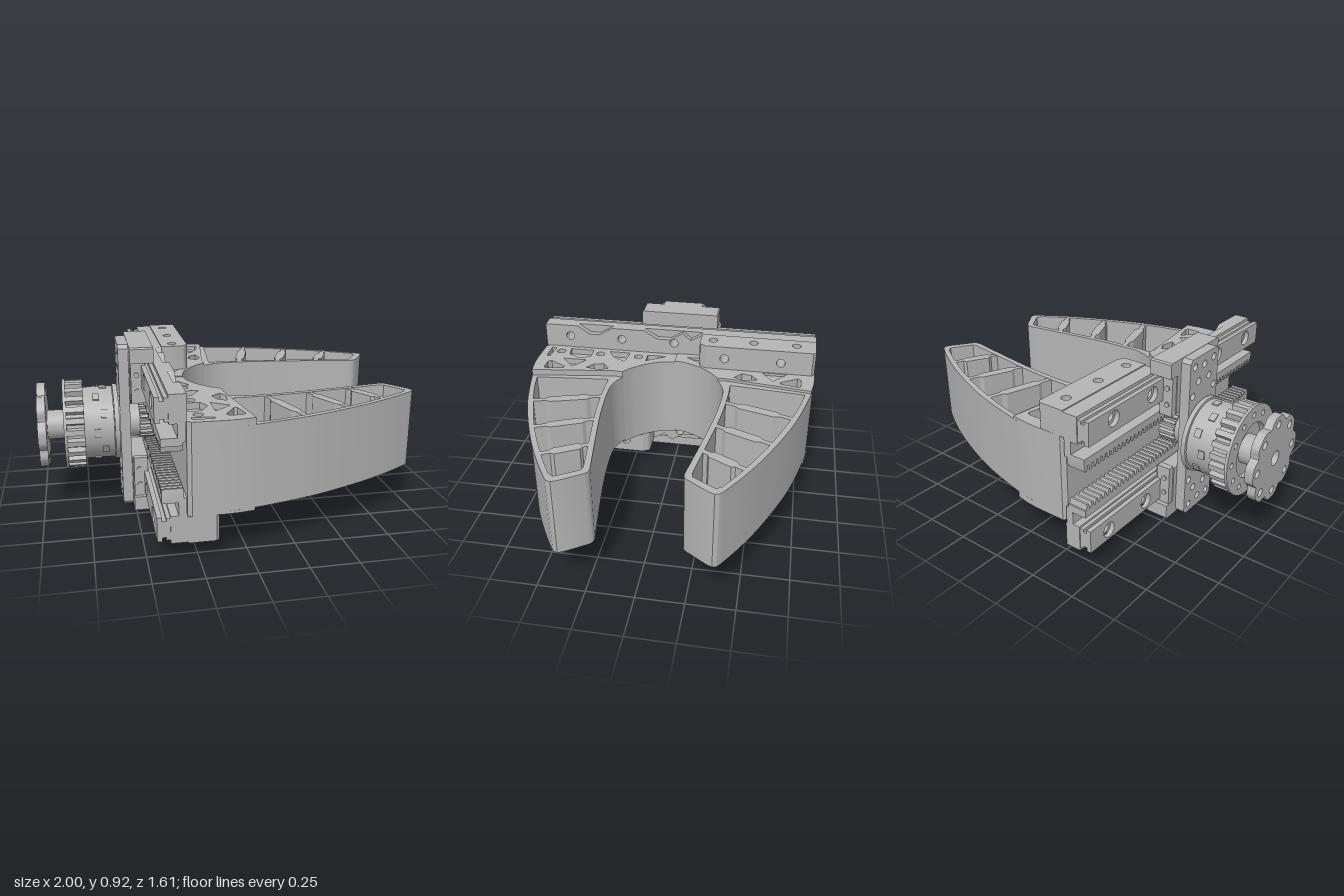
import * as THREE from 'three';
import { toCreasedNormals } from 'three/addons/utils/BufferGeometryUtils.js';

const CY = 0.46; // height of the main axis
const steel = new THREE.MeshStandardMaterial({ color: 0xb4b4b4 });
steel.name = 'grey';

const V = (p) => new THREE.Vector2(p[0], p[1]);
const circle = (x, y, r, n = 20) => Array.from({ length: n }, (_, i) => {
  const a = (i / n) * Math.PI * 2;
  return [x + r * Math.cos(a), y + r * Math.sin(a)];
});
const rect = (x0, x1, y0, y1) => [[x0, y0], [x1, y0], [x1, y1], [x0, y1]];
const curve = (pts, n = 40) =>
  new THREE.SplineCurve(pts.map(V)).getPoints(n).map((p) => [p.x, p.y]);

// Outlines run anticlockwise and holes clockwise, so every wall faces outwards
function wound(points, clockwise) {
  const pts = points.map(V);
  return THREE.ShapeUtils.isClockWise(pts) === clockwise ? pts : pts.reverse();
}
function extrude(outline, holes, depth) {
  const s = new THREE.Shape(wound(outline, false));
  s.holes = holes.map((h) => new THREE.Path(wound(h, true)));
  return new THREE.ExtrudeGeometry(s, { depth, bevelEnabled: false });
}
function add(group, name, geo) {
  const m = new THREE.Mesh(toCreasedNormals(geo, 0.5), steel);
  m.name = name;
  group.add(m);
}
// Plan outline (x, -z) raised from y0 to y1
const plan = (g, name, outline, holes, y0, y1) =>
  add(g, name, extrude(outline, holes, y1 - y0).rotateX(-Math.PI / 2).translate(0, y0, 0));
// Outline (-z, y) extruded from x0 to x1
const across = (g, name, outline, holes, x0, x1) =>
  add(g, name, extrude(outline, holes, x1 - x0).rotateY(Math.PI / 2).translate(x0, 0, 0));
const box = (g, name, x0, x1, y0, y1, z0, z1) =>
  add(g, name, new THREE.BoxGeometry(x1 - x0, y1 - y0, z1 - z0)
    .translate((x0 + x1) / 2, (y0 + y1) / 2, (z0 + z1) / 2));
const disc = (g, name, r, x0, x1) =>
  add(g, name, new THREE.CylinderGeometry(r, r, x1 - x0, 64)
    .rotateZ(Math.PI / 2).translate((x0 + x1) / 2, CY, 0));

// Toothed outline around the main axis
function gear(n, rIn, rOut) {
  const out = [];
  for (let i = 0; i < n; i++) {
    [[0, rIn], [0.3, rIn], [0.42, rOut], [0.88, rOut]].forEach(([f, r]) => {
      const a = ((i + f) / n) * Math.PI * 2;
      out.push([r * Math.cos(a), CY + r * Math.sin(a)]);
    });
  }
  return out;
}
const ringOfHoles = (n, R, r) => Array.from({ length: n }, (_, i) => {
  const a = (i / n) * Math.PI * 2;
  return circle(R * Math.cos(a), CY + R * Math.sin(a), r, 14);
});

// One finger with its base, guide bar, rail and rack
function makeJaw() {
  const g = new THREE.Group();
  const outer = [[-0.28, 0.8], ...curve([[-0.12, 0.803], [0.03, 0.787], [0.3, 0.722], [0.5, 0.652],
    [0.7, 0.566], [0.85, 0.488], [0.975, 0.412]])];
  const tip = [[0.994, 0.396], [1, 0.375], [0.99, 0.35], [0.915, 0.24], [0.9, 0.226], [0.888, 0.222]];
  const mouth = curve([[-0.03, 0.272], [-0.09, 0.225], [-0.15, 0.15], [-0.188, 0.07], [-0.2, 0]], 20);
  const inner = [...curve([[0.87, 0.222], [0.6, 0.265], [0.35, 0.3], [0.13, 0.315], [0.04, 0.303], [-0.03, 0.272]]),
    ...mouth.slice(1)];
  const window = [...curve([[0.05, 0.753], [0.2, 0.72], [0.4, 0.657], [0.6, 0.58], [0.8, 0.483], [0.94, 0.402]], 24),
    [0.958, 0.375], [0.888, 0.262], [0.865, 0.256],
    ...curve([[0.6, 0.295], [0.35, 0.33], [0.13, 0.345], [0.01, 0.345]], 20)];
  const through = [
    [[-0.1, 0.71], [-0.085, 0.73], [-0.015, 0.73], [-0.005, 0.715], [-0.025, 0.62], [-0.04, 0.615]],
    [[-0.095, 0.455], [-0.05, 0.49], [-0.035, 0.41], [-0.06, 0.36], [-0.11, 0.4]],
    ...[0.22, 0.45, 0.69].map((w) => circle(-0.23, w, 0.025))];
  const pockets = [
    [[-0.14, 0.65], [-0.05, 0.575], [-0.14, 0.51]],
    [[-0.27, 0.64], [-0.2, 0.63], [-0.16, 0.56], [-0.19, 0.5], [-0.27, 0.5]],
    [[-0.27, 0.4], [-0.21, 0.37], [-0.16, 0.29], [-0.27, 0.28]],
    [[-0.27, 0.76], [-0.16, 0.76], [-0.16, 0.74], [-0.27, 0.73]],
    [[-0.26, 0.17], [-0.19, 0.17], [-0.26, 0.06]]];
  const back = [[-0.3, 0], [-0.3, 0.78]];
  plan(g, 'finger', [...outer, ...tip, ...inner, ...back], [window, ...through], 0.26, 0.685);
  const baseOutline = [[-0.28, 0.8], [-0.12, 0.803], [-0.05, 0.799], [0.03, 0.787], [-0.035, 0.32], ...mouth, ...back];
  plan(g, 'baseBottom', baseOutline, [...through, ...pockets], 0.226, 0.26);
  plan(g, 'baseTop', baseOutline, [...through, ...pockets], 0.685, 0.7);

  // Cross ribs, thick in the middle with thin necks
  [[0.305, 0.7, 0.195, 0.33], [0.56, 0.607, 0.43, 0.305], [0.79, 0.497, 0.665, 0.272]].forEach(([ax, aw, bx, bw]) => {
    const dx = bx - ax, dw = bw - aw, L = Math.hypot(dx, dw);
    const side = [[0, 0.014], [0.2, 0.014], [0.26, 0.027], [0.76, 0.027], [0.82, 0.014], [1, 0.014]];
    const at = ([t, h], s) => [ax + dx * t - (dw / L) * h * s, aw + dw * t + (dx / L) * h * s];
    plan(g, 'fingerRib', [...side.map((p) => at(p, -1)), ...side.slice().reverse().map((p) => at(p, 1))], [], 0.262, 0.683);
  });

  // Mounting block, drilled in both directions, built segment by segment
  plan(g, 'mountBlock', [[-0.3, 0.655], [-0.147, 0.655], [-0.147, 0.785], [-0.162, 0.8], [-0.3, 0.8]],
    [circle(-0.23, 0.69, 0.025)], 0.7, 0.838);
  plan(g, 'mountBlock', rect(-0.3, -0.147, 0.33, 0.565), [circle(-0.23, 0.45, 0.025)], 0.7, 0.838);
  plan(g, 'mountBlock', [[-0.3, 0.148], [-0.178, 0.148], [-0.165, 0.155], [-0.147, 0.187], [-0.147, 0.26], [-0.3, 0.26]],
    [circle(-0.23, 0.22, 0.025)], 0.7, 0.838);
  [[0.565, 0.655, 0.61], [0.26, 0.33, 0.293]].forEach(([a, b, h]) =>
    across(g, 'mountBlock', rect(a, b, 0.7, 0.838), [circle(h, 0.765, 0.025)], -0.3, -0.147));

  // Guide bar with notched face, and grooved rail behind it
  const bolts = (r) => [-0.65, -0.335, -0.02, 0.293, 0.61].map((w) => circle(w, 0.765, r));
  const dips = [0.15, 0.08, 0.03, -0.04, -0.12, -0.2, -0.39, -0.47, -0.53, -0.6]
    .map((w, i) => [w, [0.832, 0.79, 0.832, 0.785, 0.785, 0.832, 0.832, 0.785, 0.785, 0.832][i]]);
  across(g, 'guideBarFace', [[-0.8, 0.7], [0.8, 0.7], [0.8, 0.832], ...dips, [-0.8, 0.832]], bolts(0.025), -0.335, -0.3);
  across(g, 'guideBar', rect(-0.8, 0.8, 0.69, 0.832), bolts(0.025), -0.385, -0.335);
  across(g, 'railBase', rect(-0.795, 0.795, 0.7, 0.815), bolts(0.025), -0.405, -0.385);
  across(g, 'railNeck', rect(-0.795, 0.795, 0.715, 0.8), bolts(0.025), -0.425, -0.405);
  across(g, 'railHead', rect(-0.795, 0.795, 0.695, 0.82), bolts(0.042), -0.45, -0.425);

  // Rack with teeth facing the pinion
  const teeth = [];
  const n = 48, p = 1.6 / n;
  for (let i = 0; i < n; i++) {
    const w = -0.8 + i * p;
    teeth.push([w, 0.582], [w + p * 0.25, 0.582], [w + p * 0.45, 0.552], [w + p * 0.8, 0.552]);
  }
  across(g, 'rack', [...teeth, [0.8, 0.582], [0.8, 0.622], [-0.8, 0.622]], [], -0.425, -0.32);
  box(g, 'rackWeb', -0.345, -0.305, 0.6, 0.7, -0.8, 0.8);
  return g;
}

// Carriage and end cap above the axis
function makeCarriage() {
  const g = new THREE.Group();
  const cap = [[-0.225, 0.836], [0.225, 0.836], [0.225, 0.912], [0.218, 0.92], [-0.218, 0.92], [-0.225, 0.912]];
  across(g, 'endCap', cap, [], -0.51, -0.385);
  box(g, 'carriage', -0.51, -0.425, 0.625, 0.865, -0.165, 0.165);
  box(g, 'carriageLowerLip', -0.43, -0.4, 0.64, 0.692, -0.165, 0.165);
  [-1, 1].forEach((s) => {
    box(g, 'carriageEnd', -0.505, -0.43, 0.615, 0.87, s * 0.183 - 0.018, s * 0.183 + 0.018);
    [0.68, 0.77].forEach((y) => add(g, 'carriageScrew',
      new THREE.CylinderGeometry(0.014, 0.014, 0.012, 16).rotateX(Math.PI / 2).translate(-0.475, y, s * 0.202)));
  });
  return g;
}

function makeDrive() {
  const g = new THREE.Group();
  // Centre plate with bolt holes
  const holes = [];
  [-1, 1].forEach((s) => [[0.09, 0.41], [-0.09, 0.41], [0, 0.4], [0.05, 0.32], [-0.05, 0.32], [0.1, 0.25], [-0.1, 0.25]]
    .forEach(([w, y]) => holes.push(circle(w, CY + s * y, 0.02, 14))));
  across(g, 'centrePlate', [[-0.115, 0.002], [0.115, 0.002], [0.135, 0.022], [0.135, 0.898], [0.115, 0.918],
    [-0.115, 0.918], [-0.135, 0.898], [-0.135, 0.022]], holes, -0.565, -0.51);
  // Pinion and its hub
  disc(g, 'pinionHub', 0.09, -0.51, -0.455);
  across(g, 'pinion', gear(18, 0.075, 0.1), [circle(0, CY, 0.025)], -0.455, -0.36);
  // Motor body with raised tabs
  disc(g, 'motorCollar', 0.175, -0.6, -0.565);
  disc(g, 'motorFront', 0.208, -0.597, -0.572);
  disc(g, 'motorBody', 0.198, -0.765, -0.6);
  for (let i = 0; i < 12; i++) {
    const a = (i / 12) * Math.PI * 2;
    add(g, 'motorTab', new THREE.BoxGeometry(0.035, 0.012, 0.045).translate(0, 0.198, 0).rotateX(a)
      .translate(i % 2 ? -0.69 : -0.65, CY, 0));
  }
  // Finned drum
  across(g, 'drumFins', gear(24, 0.212, 0.243), [circle(0, CY, 0.15, 40)], -0.85, -0.757);
  disc(g, 'drumCore', 0.16, -0.835, -0.76);
  across(g, 'drumRim', circle(0, CY, 0.248, 64), [circle(0, CY, 0.15, 40), ...ringOfHoles(12, 0.2, 0.016)], -0.865, -0.85);
  disc(g, 'outputShaft', 0.08, -0.96, -0.83);
  // Lobed mounting flange
  const lobes = Array.from({ length: 128 }, (_, i) => {
    const a = (i / 128) * Math.PI * 2;
    const r = 0.236 - 0.03 * Math.pow(0.5 - 0.5 * Math.cos(8 * a), 3);
    return [r * Math.cos(a), CY + r * Math.sin(a)];
  });
  across(g, 'mountFlange', lobes, [circle(0, CY, 0.04, 28), ...ringOfHoles(8, 0.19, 0.022)], -1, -0.955);
  return g;
}

export function createModel() {
  const model = new THREE.Group();
  model.name = 'gripper';
  // Jaw and carriage repeat with a half turn about the main axis
  [['upper', false], ['lower', true]].forEach(([side, turned]) => {
    [['Jaw', makeJaw()], ['Carriage', makeCarriage()]].forEach(([part, g]) => {
      g.name = side + part;
      if (turned) {
        g.rotation.x = Math.PI;
        g.position.y = 2 * CY;
      }
      model.add(g);
    });
  });
  const drive = makeDrive();
  drive.name = 'drive';
  model.add(drive);
  return model;
}
